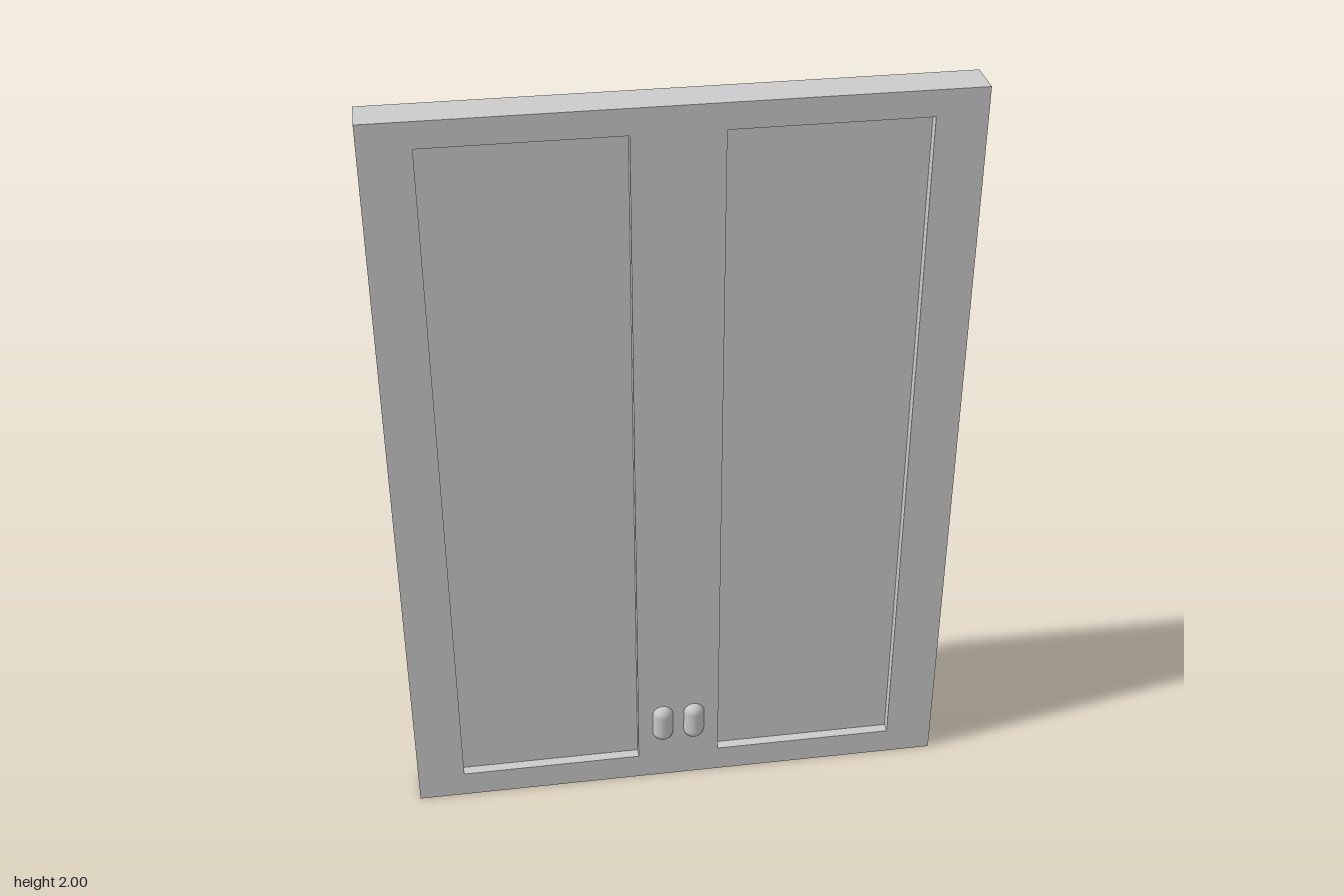
import * as THREE from 'three';

const WIDTH = 1.44, HEIGHT = 2, BACK = -0.062, FRONT = 0.04;
const PANEL = { x: 0.353, y: 1.004, w: 0.484, h: 1.86, recess: 0.027 };

// Closed rectangle path around a centre point
function rectangle(PathType, x, y, w, h) {
  return new PathType([
    [x - w / 2, y - h / 2], [x + w / 2, y - h / 2],
    [x + w / 2, y + h / 2], [x - w / 2, y + h / 2],
  ].map(([px, py]) => new THREE.Vector2(px, py)));
}

export function createModel() {
  const model = new THREE.Group();
  model.name = 'cabinetDoors';
  const material = new THREE.MeshStandardMaterial({ color: 0xcccccc });

  function add(name, geometry, x, y, z) {
    const mesh = new THREE.Mesh(geometry, material);
    mesh.name = name;
    mesh.position.set(x, y, z);
    model.add(mesh);
    return mesh;
  }

  // Frame with two tall openings
  const outline = rectangle(THREE.Shape, 0, HEIGHT / 2, WIDTH, HEIGHT);
  for (const side of [-1, 1]) {
    outline.holes.push(rectangle(THREE.Path, side * PANEL.x, PANEL.y, PANEL.w, PANEL.h));
  }
  const frame = new THREE.ExtrudeGeometry(outline, { depth: FRONT - BACK, bevelEnabled: false });
  add('frame', frame, 0, 0, BACK);

  // Panels recessed on both faces, and rounded handles on the front
  const panel = new THREE.BoxGeometry(PANEL.w, PANEL.h, FRONT - BACK - 2 * PANEL.recess);
  const handle = new THREE.CapsuleGeometry(0.029, 0.06, 8, 24);
  for (const side of [-1, 1]) {
    const label = side > 0 ? 'left' : 'right';
    add(label + 'Panel', panel, side * PANEL.x, PANEL.y, (FRONT + BACK) / 2);
    add(label + 'Handle', handle, side * 0.043, 0.188, 0.033);
  }
  return model;
}
